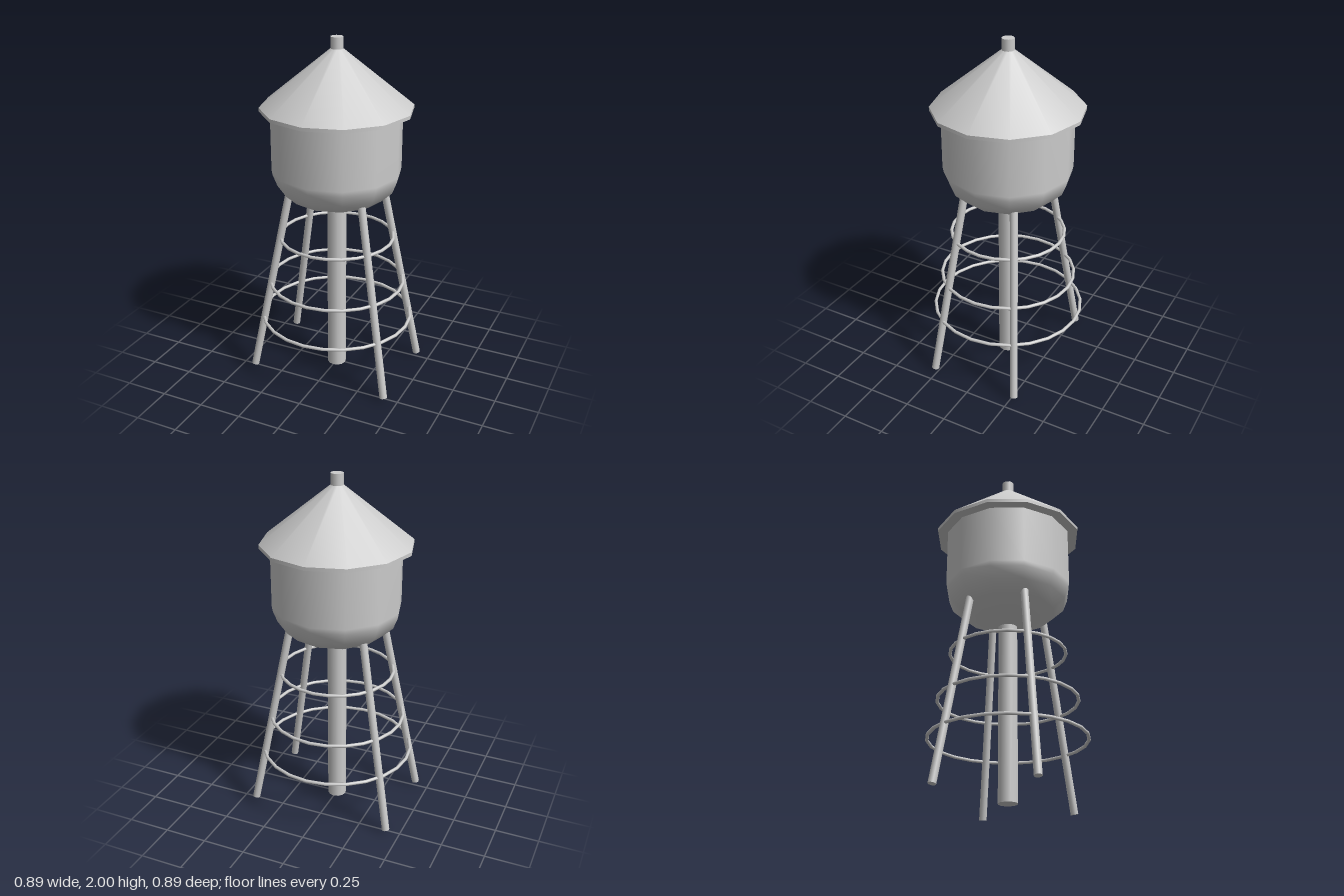
import * as THREE from 'three';

export function createModel() {
  const model = new THREE.Group();
  const mat = new THREE.MeshStandardMaterial({ color: 0xcccccc });

  function add(name, geometry, y = 0) {
    const mesh = new THREE.Mesh(geometry, mat);
    mesh.name = name;
    mesh.position.y = y;
    model.add(mesh);
    return mesh;
  }

  // Upright cylinder or cone between two heights
  function column(name, rTop, rBottom, y0, y1, open = false) {
    return add(name, new THREE.CylinderGeometry(rTop, rBottom, y1 - y0, 12, 1, open), (y0 + y1) / 2);
  }

  // Central riser pipe
  column('riserPipe', 0.055, 0.055, 0, 1.03);

  // Tank with rounded, funnel-shaped bottom
  const profile = [
    [0.05, 1.015], [0.1, 1.035], [0.27, 1.105], [0.335, 1.165],
    [0.36, 1.23], [0.365, 1.26], [0.365, 1.605],
  ].map(([r, y]) => new THREE.Vector2(r, y));
  add('tank', new THREE.LatheGeometry(profile, 12));

  // Roof: eave slab, cone and finial
  column('roofEave', 0.425, 0.425, 1.6, 1.62);
  column('roofCone', 0.03, 0.425, 1.62, 1.94, true);
  column('finial', 0.035, 0.035, 1.92, 2);

  // Four splayed legs, cut square at both ends
  const up = new THREE.Vector3(0, 1, 0);
  for (const sx of [-1, 1]) {
    for (const sz of [-1, 1]) {
      const foot = new THREE.Vector3(0.42 * sx, 0.02, 0.268 * sz);
      const head = new THREE.Vector3(0.222 * sx, 1.125, 0.157 * sz);
      const axis = head.clone().sub(foot);
      const leg = add('leg', new THREE.CylinderGeometry(0.022, 0.022, axis.length(), 12));
      leg.position.copy(foot).add(head).multiplyScalar(0.5);
      leg.quaternion.setFromUnitVectors(up, axis.normalize());
    }
  }

  // Bracing hoops around the legs
  for (const [y, r] of [[0.85, 0.327], [0.568, 0.39], [0.347, 0.438]]) {
    const hoop = add('braceHoop', new THREE.TorusGeometry(r, 0.0095, 8, 24), y);
    hoop.rotation.x = Math.PI / 2;
  }

  return model;
}
